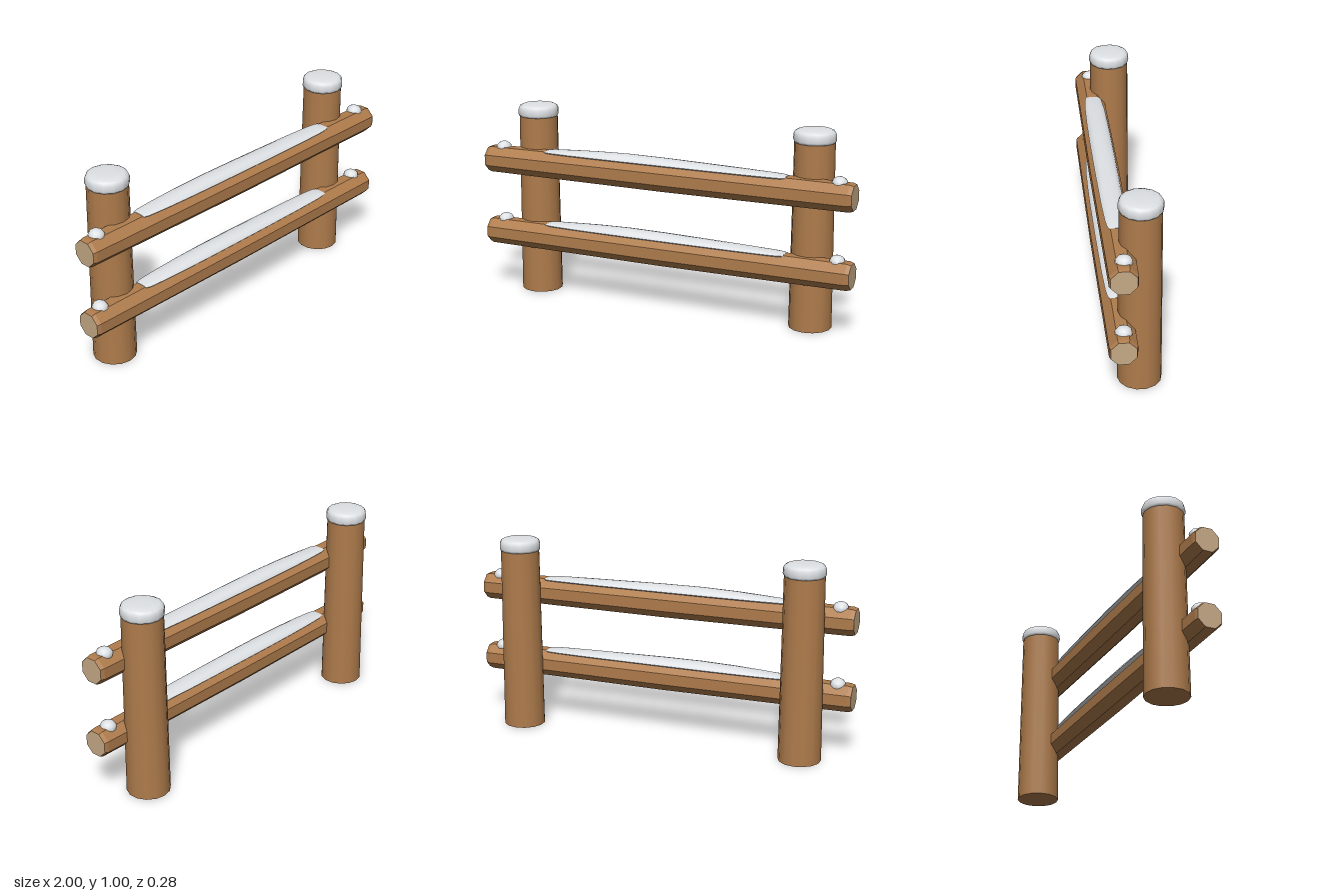
import * as THREE from 'three';
import { mergeVertices, toCreasedNormals } from 'three/addons/utils/BufferGeometryUtils.js';

const wood = new THREE.MeshStandardMaterial({ color: 0xaf7c4c });
wood.name = 'wood';
const cutWood = new THREE.MeshStandardMaterial({ color: 0xc6aa86 });
cutWood.name = 'cut wood';
const snow = new THREE.MeshStandardMaterial({ color: 0xdfe2e5 });
snow.name = 'snow';

const POST_Z = -0.03;
const RAIL_Z = 0.069;

function add(parent, name, geometry, material, x = 0, y = 0, z = 0) {
  const mesh = new THREE.Mesh(geometry, material);
  mesh.name = name;
  mesh.position.set(x, y, z);
  parent.add(mesh);
  return mesh;
}

function lathe(points, sides, phase = 0) {
  return new THREE.LatheGeometry(points.map(([r, y]) => new THREE.Vector2(r, y)), sides, phase);
}

// Octagonal log along x, a little thicker in the middle, with bevelled ends
function railGeometry() {
  const profile = [
    [0.066, -1], [0.0725, -0.98], [0.0745, -0.6], [0.0775, 0],
    [0.0745, 0.6], [0.0725, 0.98], [0.066, 1],
  ];
  const geometry = lathe(profile, 8, Math.PI / 8).rotateZ(-Math.PI / 2).toNonIndexed();
  geometry.computeVertexNormals();
  return geometry;
}

// Long drift: a cylinder reshaped by stations of [x, half width, rise above seam]
function driftGeometry() {
  const stations = [
    [-0.66, 0.036, 0.004], [-0.63, 0.044, 0.009], [-0.52, 0.051, 0.016],
    [-0.38, 0.055, 0.024], [-0.2, 0.057, 0.029], [0, 0.057, 0.027],
    [0.2, 0.056, 0.022], [0.42, 0.054, 0.016], [0.58, 0.049, 0.011],
    [0.63, 0.044, 0.008], [0.655, 0.036, 0.003],
  ];
  const last = stations.length - 1;
  let geometry = new THREE.CylinderGeometry(1, 1, 1, 14, last);
  const p = geometry.attributes.position;
  for (let i = 0; i < p.count; i++) {
    const [x, width, rise] = stations[Math.round((p.getY(i) + 0.5) * last)];
    const up = -p.getX(i);
    p.setXYZ(i, x, up * (up > 0 ? rise : 0.013), p.getZ(i) * width);
  }
  geometry.deleteAttribute('normal');
  geometry.deleteAttribute('uv');
  geometry = mergeVertices(geometry);
  return toCreasedNormals(geometry, 1.1);
}

export function createModel() {
  const model = new THREE.Group();
  model.name = 'snowyFence';

  // Posts with snow caps
  const postShape = new THREE.CylinderGeometry(0.1, 0.108, 0.96, 14);
  const capShape = lathe([
    [0, 0.94], [0.1, 0.94], [0.106, 0.952], [0.105, 0.978],
    [0.098, 0.993], [0.083, 1], [0.045, 1.003], [0, 1.004],
  ], 14);
  for (const side of [-1, 1]) {
    const post = new THREE.Group();
    post.name = side > 0 ? 'leftPost' : 'rightPost';
    post.position.set(side * 0.76, 0, POST_Z);
    add(post, 'postLog', postShape, wood, 0, 0.48);
    add(post, 'postSnowCap', capShape, snow);
    model.add(post);
  }

  // Rails with cut ends, a long drift and a snow mound at each end
  const logShape = railGeometry();
  const driftShape = driftGeometry();
  const endShape = new THREE.CircleGeometry(0.066, 8, Math.PI / 8);
  const moundShape = new THREE.SphereGeometry(1, 10, 8).scale(0.04, 0.034, 0.042);
  for (const [name, y] of [['lowerRail', 0.32], ['upperRail', 0.71]]) {
    const rail = new THREE.Group();
    rail.name = name;
    rail.position.set(0, y, RAIL_Z);
    add(rail, 'railLog', logShape, wood);
    add(rail, 'railSnow', driftShape, snow, 0, 0.067, -0.002);
    for (const side of [-1, 1]) {
      add(rail, 'railEnd', endShape, cutWood, side).rotation.y = side * Math.PI / 2;
      add(rail, 'snowMound', moundShape, snow, side * 0.92, 0.062, -0.006);
    }
    model.add(rail);
  }
  return model;
}
